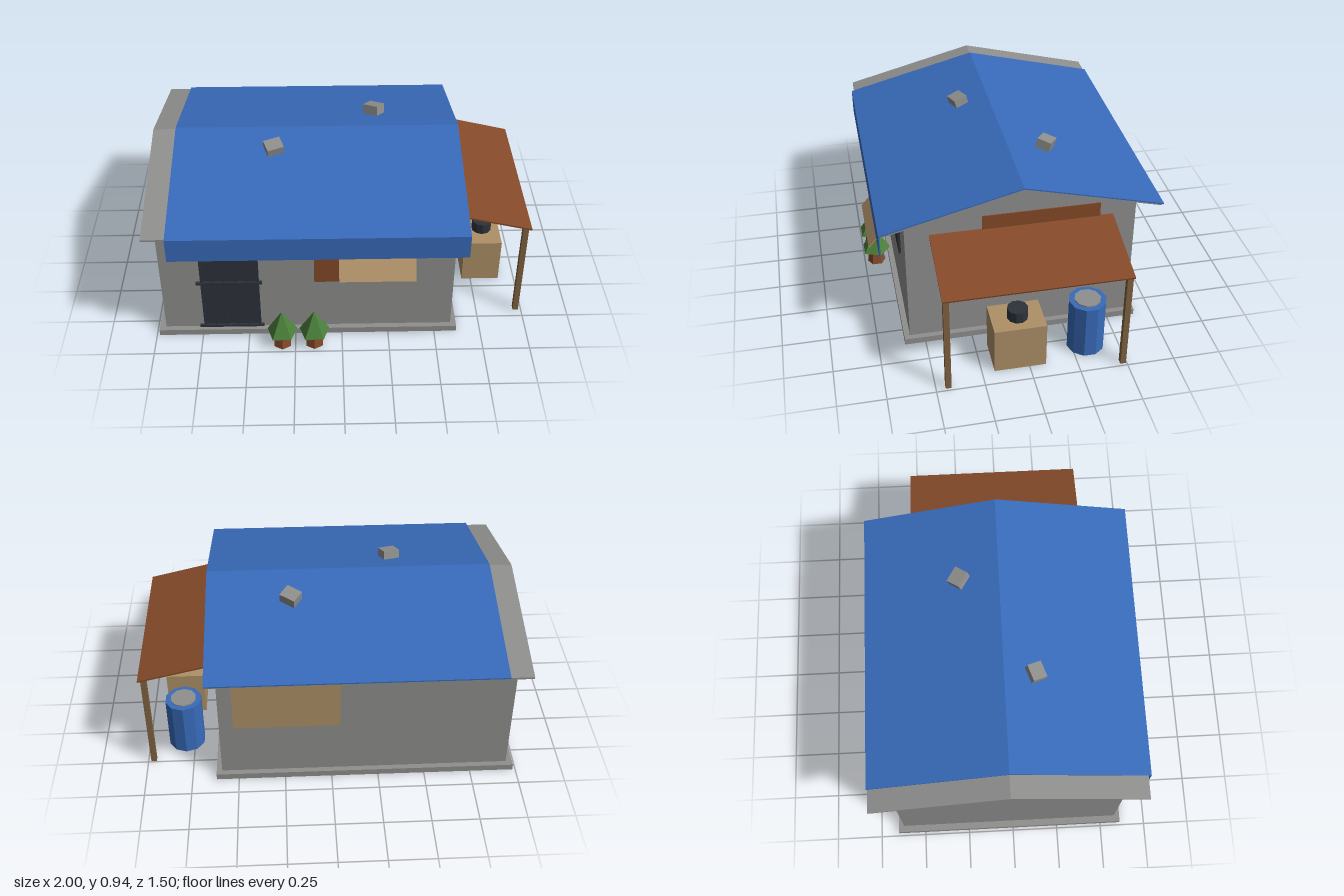
import * as THREE from 'three';

const material = (name, color) => {
  const m = new THREE.MeshStandardMaterial({ color, flatShading: true });
  m.name = name;
  return m;
};

export function createModel() {
  const house = new THREE.Group();
  house.name = 'house';

  const concrete = material('concrete grey', 0x8f908e);
  const blue = material('tarp blue', 0x386bba);
  const rust = material('rust brown', 0x854a29);
  const tan = material('plywood tan', 0xae9067);
  const wood = material('post wood', 0x80623f);
  const dark = material('dark metal', 0x2d333b);
  const green = material('leaf green', 0x4b803b);

  const add = (name, geometry, mat, x = 0, y = 0, z = 0, parent = house) => {
    const mesh = new THREE.Mesh(geometry, mat);
    mesh.name = name;
    mesh.position.set(x, y, z);
    parent.add(mesh);
    return mesh;
  };

  // Box given by its extents along each axis
  const block = (name, mat, [x0, x1], [y0, y1], [z0, z1], parent = house) =>
    add(name, new THREE.BoxGeometry(x1 - x0, y1 - y0, z1 - z0), mat,
      (x0 + x1) / 2, (y0 + y1) / 2, (z0 + z1) / 2, parent);

  // Outline of [z, y] points extruded along x
  const prism = (name, mat, x0, x1, points) => {
    const shape = new THREE.Shape(points.map(([z, y]) => new THREE.Vector2(z, y)));
    const g = new THREE.ExtrudeGeometry(shape, { depth: x1 - x0, bevelEnabled: false });
    g.rotateY(-Math.PI / 2);
    g.translate(x1, 0, 0);
    return add(name, g, mat);
  };

  // Gabled roof sheet with the given thickness
  const ridgeZ = -0.02;
  const roofSheet = (name, mat, x0, x1, front, back, eave, ridge, t) =>
    prism(name, mat, x0, x1, [
      [front, eave], [ridgeZ, ridge], [back, eave],
      [back, eave - t], [ridgeZ, ridge - t], [front, eave - t],
    ]);

  // Foundation and gabled walls
  block('foundation', concrete, [-0.985, 0.62], [0, 0.035], [-0.65, 0.61]);
  prism('walls', concrete, -0.95, 0.59, [
    [0.58, 0.035], [0.58, 0.75], [ridgeZ, 0.906], [-0.62, 0.75], [-0.62, 0.035],
  ]);

  // Roof with a tarp draped over the front eave
  roofSheet('roof', concrete, -1, 0.632, 0.695, -0.745, 0.733, 0.917, 0.011);
  roofSheet('roofTarp', blue, -0.88, 0.64, 0.71, -0.752, 0.739, 0.926, 0.007);
  block('tarpDrape', blue, [-0.88, 0.64], [0.605, 0.738], [0.704, 0.71]);

  // Stones holding the tarp down
  for (const [x, y, z, tilt, turn] of [[-0.35, 0.904, 0.145, 0.25, 0.35], [0.195, 0.9, -0.235, -0.25, -0.6]]) {
    const stone = add('roofStone', new THREE.BoxGeometry(0.09, 0.052, 0.078), concrete, x, y, z);
    stone.rotation.set(tilt, turn, 0);
  }

  // Barred door
  const door = new THREE.Group();
  door.name = 'door';
  house.add(door);
  block('doorPanel', dark, [-0.743, -0.435], [0.04, 0.7], [0.578, 0.586], door);
  for (let i = 0; i < 6; i++) {
    const x = -0.735 + i * 0.0585;
    block('doorBar', dark, [x - 0.006, x + 0.006], [0.04, 0.7], [0.584, 0.594], door);
  }
  for (const y of [0.05, 0.352, 0.65]) {
    block('doorCrossbar', dark, [-0.765, -0.418], [y - 0.007, y + 0.007], [0.584, 0.598], door);
  }

  // Patches on the walls
  block('frontPatch', rust, [-0.145, 0.297], [0.345, 0.74], [0.578, 0.584]);
  block('sidePatch', rust, [0.588, 0.595], [0.345, 0.755], [-0.43, 0.185]);
  block('backPatch', tan, [-0.045, 0.515], [0.345, 0.745], [-0.626, -0.618]);

  // Window and its propped shutter
  block('window', dark, [-0.012, 0.366], [0.415, 0.7], [0.579, 0.592]);
  prism('windowShutter', tan, -0.017, 0.374, [
    [0.592, 0.67], [0.588, 0.662], [0.742, 0.482], [0.748, 0.486],
  ]);

  // Side awning on two posts
  const awning = add('awning', new THREE.BoxGeometry(0.436, 0.009, 0.955), rust, 0.788, 0.624, -0.022);
  awning.rotation.z = Math.atan2(-0.103, 0.425);
  for (const z of [0.436, -0.48]) {
    block('awningPost', wood, [0.955, 0.985], [0, 0.574], [z - 0.015, z + 0.015]);
  }

  // Crate with a pot, and a barrel
  block('crate', tan, [0.7, 0.91], [0, 0.26], [-0.087, 0.185]);
  add('pot', new THREE.CylinderGeometry(0.055, 0.055, 0.062, 10), dark, 0.81, 0.29, 0.046);
  add('barrel', new THREE.CylinderGeometry(0.1, 0.1, 0.304, 10), blue, 0.795, 0.152, -0.327);
  add('barrelLid', new THREE.CylinderGeometry(0.07, 0.07, 0.01, 10), concrete, 0.795, 0.306, -0.327);

  // Small trees by the front wall
  for (const x of [-0.319, -0.148]) {
    const tree = new THREE.Group();
    tree.name = 'tree';
    tree.position.set(x, 0, 0.682);
    house.add(tree);
    add('treeTrunk', new THREE.CylinderGeometry(0.036, 0.051, 0.09, 6), rust, 0, 0.045, 0, tree);
    const crown = add('treeCrown', new THREE.ConeGeometry(0.083, 0.14, 5), green, 0, 0.155, 0, tree);
    crown.rotation.y = Math.PI;
  }

  return house;
}
